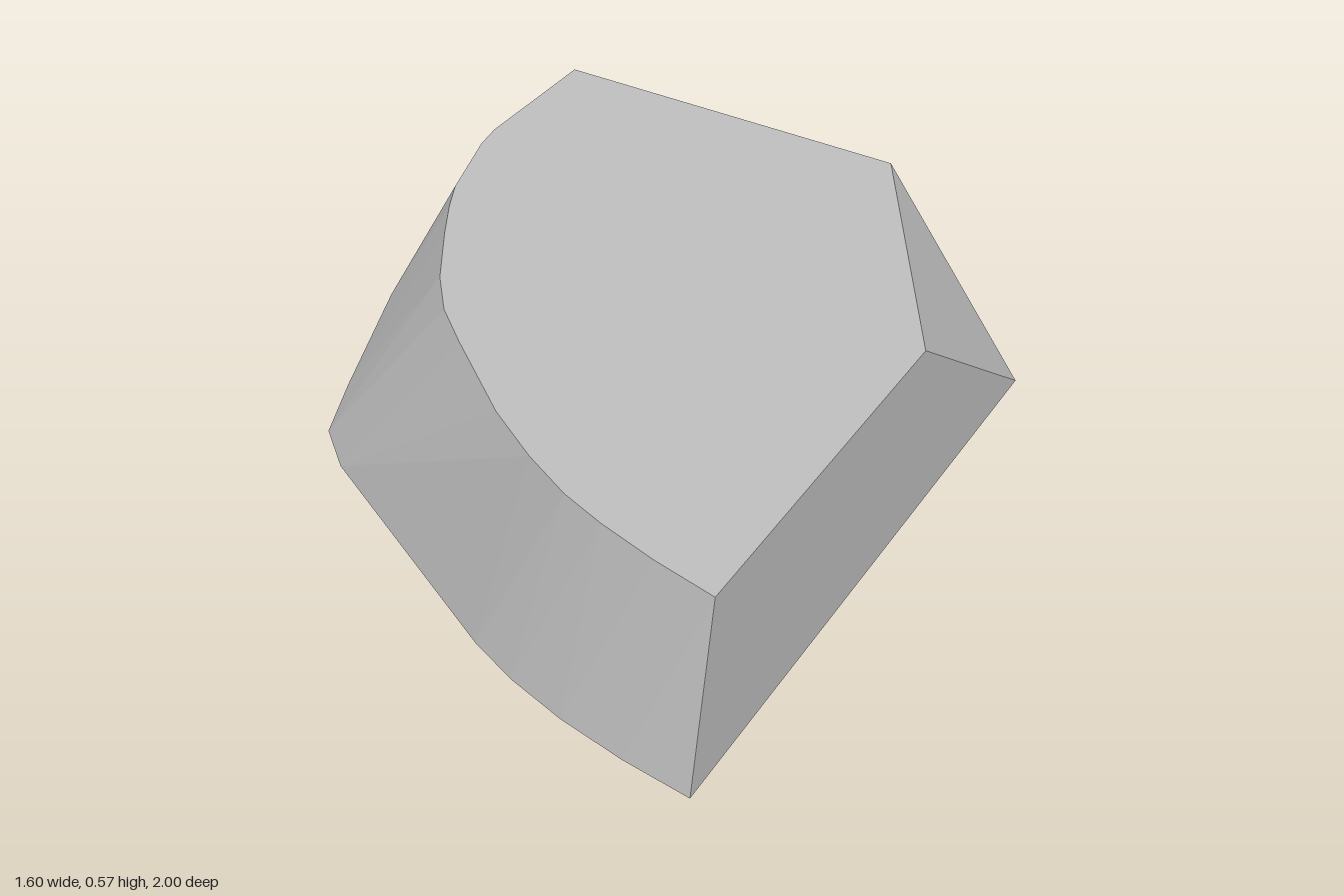
import * as THREE from 'three';
import { ConvexGeometry } from 'three/addons/geometries/ConvexGeometry.js';

const HEIGHT = 0.57;

export function createModel() {
  const group = new THREE.Group();
  group.name = 'facetedBlock';
  const grey = new THREE.MeshStandardMaterial({ color: 0xc0c0c0 });
  grey.name = 'light grey';

  // Upper outline (x, z): straight back and sides, one cut corner, curved front
  const top = [
    [-0.8, -1], [0.31, -1], [0.8, -0.19], [0.8, 0.91], [0.62, 0.875],
    [0.45, 0.83], [0.32, 0.785], [0.17, 0.71], [0, 0.605], [-0.25, 0.41],
    [-0.37, 0.31], [-0.47, 0.19], [-0.59, 0], [-0.66, -0.12],
    [-0.71, -0.22], [-0.785, -0.46], [-0.8, -0.55],
  ];

  // Lower outline (x, z): wider, with a flatter front
  const bottom = [
    [-0.8, -1], [0.25, -1], [0.8, -0.94], [0.8, 1], [0.6, 0.98],
    [0.4, 0.945], [0.22, 0.895], [0.07, 0.835], [-0.67, 0.445], [-0.8, 0.335],
  ];

  // Curved edge (y, z) where the sloping front meets the flat side
  const sideEdge = [[0.485, -0.35], [0.285, 0], [0.1, 0.23]];

  const points = [
    ...top.map(([x, z]) => new THREE.Vector3(x, HEIGHT, z)),
    ...bottom.map(([x, z]) => new THREE.Vector3(x, 0, z)),
    ...sideEdge.map(([y, z]) => new THREE.Vector3(-0.8, y, z)),
  ];

  // The block is convex, so its faceted skin is the hull of its outlines
  const block = new THREE.Mesh(new ConvexGeometry(points), grey);
  block.name = 'block';
  group.add(block);
  return group;
}
